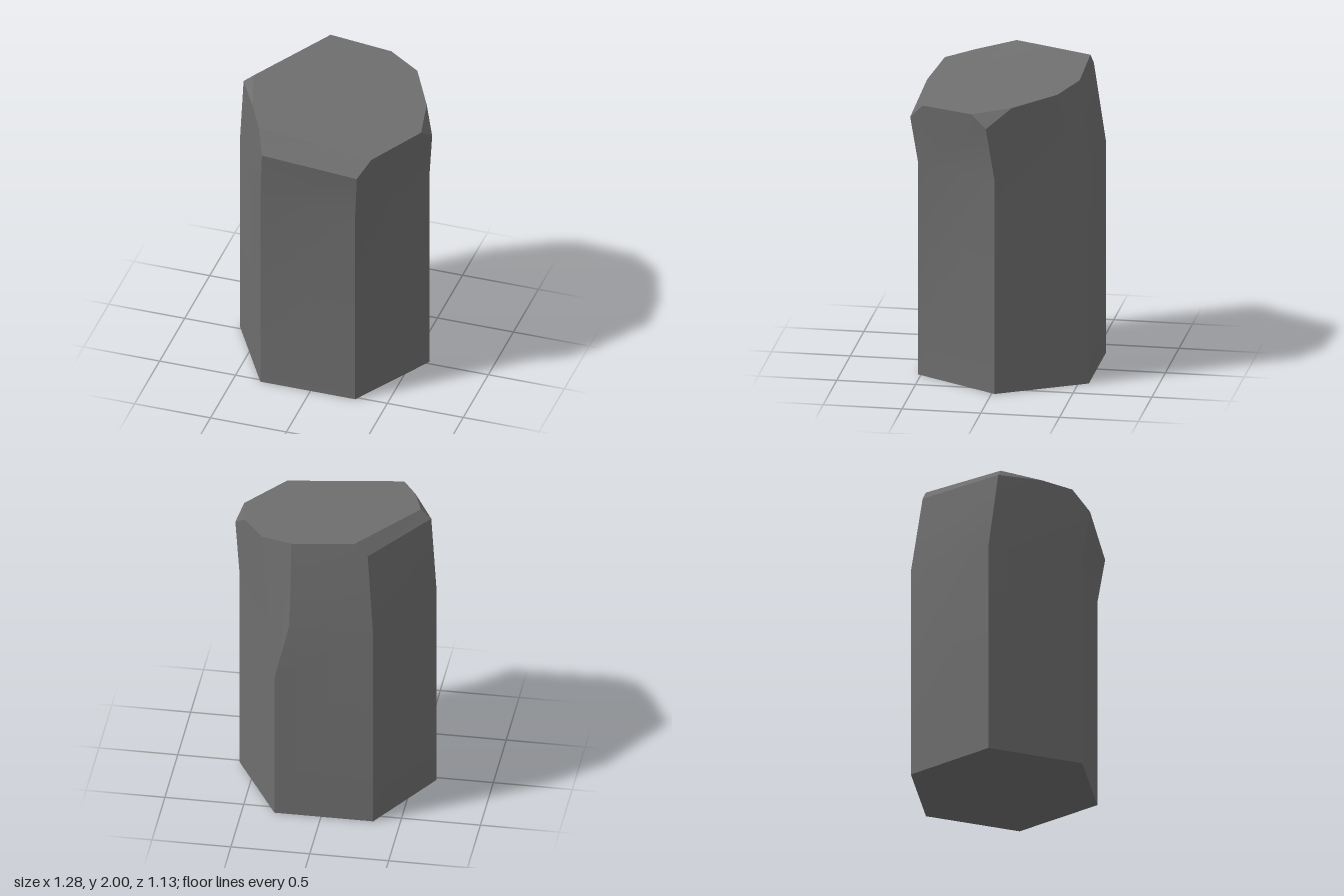
import * as THREE from 'three';
import { toCreasedNormals } from 'three/addons/utils/BufferGeometryUtils.js';

// Six corners of the column's plan: front left, front right, right, back right, back left, left (screen sense)
const plan = {
  FL: [-0.33, 0.52], FR: [0.295, 0.52], R: [0.605, -0.02],
  BR: [0.295, -0.565], BL: [-0.33, -0.565], L: [-0.645, -0.025],
};
const BEND = 1.4;

// Named corners: ring 0 is the base, ring 1 is where the shaft starts to lean
const P = {};
for (const [name, [x, z]] of Object.entries(plan)) {
  P[name + 0] = [x, 0, z];
  P[name + 1] = [x, BEND, z];
}
Object.assign(P, {
  // long chip down the back edge
  chipTip: [0.295, 1.0, -0.565], chipBend: [0.2, BEND, -0.565],
  chipBack: [0.2, 1.96, -0.49], chipSide: [0.405, 1.925, -0.385],
  // back-left bevel
  bevelBack: [-0.285, 1.92, -0.497], crownBack: [-0.2, 2.0, -0.49],
  bevelLeft: [-0.602, 1.9, 0.03], crownLeft: [-0.535, 1.96, 0.035], cornerLeft: [-0.46, 1.91, 0.285],
  // front bevel
  FL2: [-0.305, 1.745, 0.565], FR2: [0.32, 1.7, 0.565],
  crownFL: [-0.36, 1.88, 0.462], crownFR: [0.385, 1.8, 0.475],
  // right corner chip
  rightLow: [0.64, 1.75, 0.03], rightBack: [0.555, 1.87, -0.12], rightFront: [0.6, 1.83, 0.13],
});

// Flat polygons, each fanned from its first corner, counter-clockwise from outside
const faces = {
  shaft: [
    'L0 BL0 BR0 R0 FR0 FL0',
    'FL0 FR0 FR1 FL1', 'FL1 FR1 FR2 FL2',
    'FR0 R0 R1 FR1', 'FR1 R1 rightLow rightFront crownFR FR2',
    'R1 R0 BR0 chipTip chipSide rightBack rightLow',
    'BL1 chipBend chipTip BR0 BL0', 'BL1 bevelBack crownBack chipBack chipBend',
    'BL0 L0 L1 BL1', 'BL1 L1 bevelLeft bevelBack',
    'L1 L0 FL0 FL1 FL2 crownFL cornerLeft bevelLeft',
  ],
  topFace: ['crownFR rightFront rightBack chipSide chipBack crownBack crownLeft cornerLeft crownFL'],
  frontBevel: ['FL2 FR2 crownFR crownFL'],
  backLeftBevel: ['bevelBack bevelLeft crownLeft crownBack'],
  leftCornerChip: ['bevelLeft cornerLeft crownLeft'],
  rightCornerChip: ['rightLow rightBack rightFront'],
  backEdgeChip: ['chipTip chipBend chipBack chipSide'],
};

function polygons(list) {
  const positions = [];
  for (const face of list) {
    const c = face.split(' ').map((n) => P[n]);
    for (let i = 1; i < c.length - 1; i++) positions.push(...c[0], ...c[i], ...c[i + 1]);
  }
  const geo = new THREE.BufferGeometry();
  geo.setAttribute('position', new THREE.Float32BufferAttribute(positions, 3));
  geo.computeVertexNormals();
  return toCreasedNormals(geo, 0.35); // soft bend, crisp edges
}

export function createModel() {
  const stone = new THREE.MeshStandardMaterial({ color: 0x6e6e6e });
  stone.name = 'grey stone';
  const column = new THREE.Group();
  column.name = 'hexagonal stone column';
  for (const [name, list] of Object.entries(faces)) {
    const mesh = new THREE.Mesh(polygons(list), stone);
    mesh.name = name;
    column.add(mesh);
  }
  return column;
}
